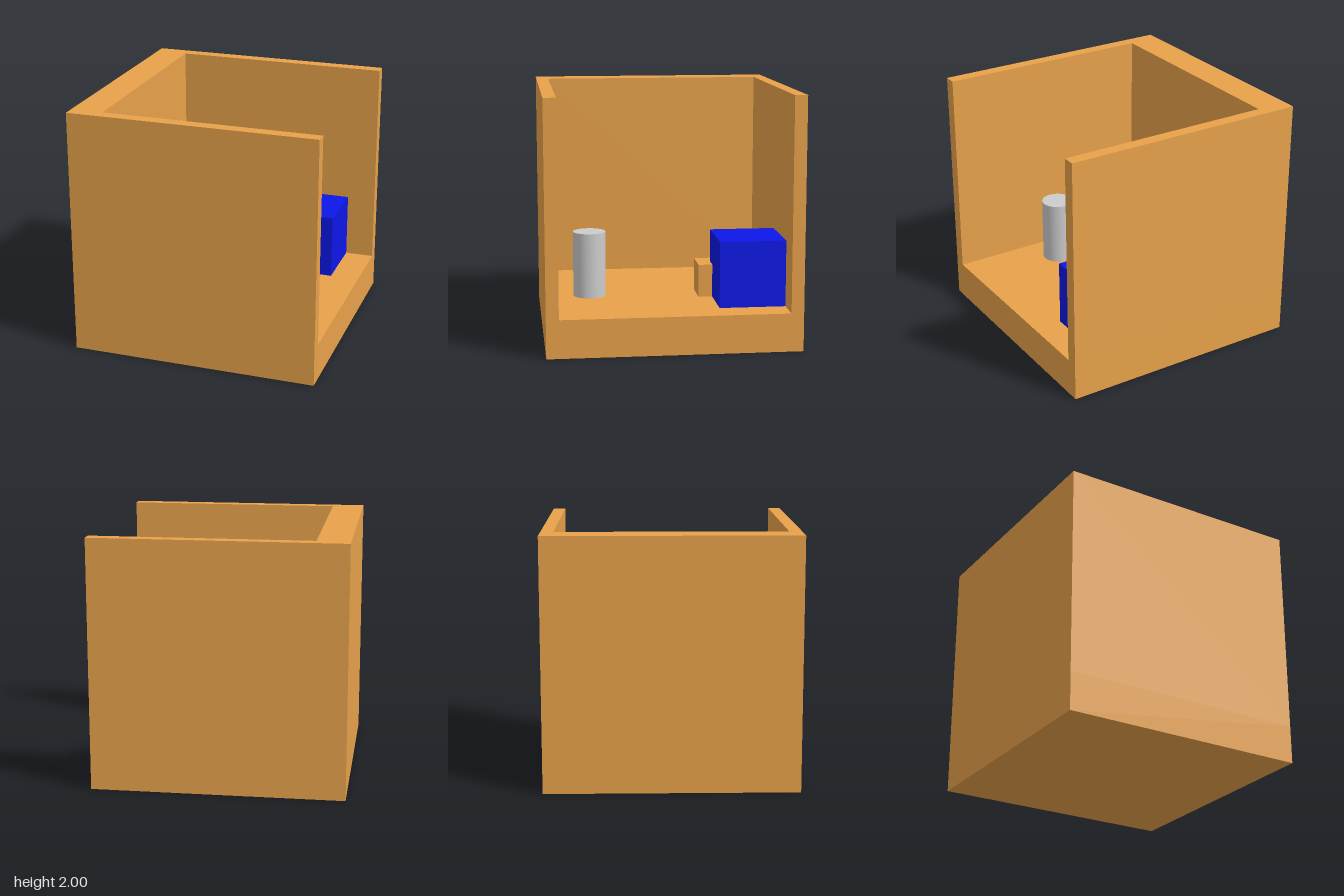
import * as THREE from 'three';

const FLOOR = 0.305; // height of the floor's upper face

export function createModel() {
  const group = new THREE.Group();
  const wood = new THREE.MeshStandardMaterial({ color: 0xe8a24a });
  const blue = new THREE.MeshStandardMaterial({ color: 0x0d17e8 });
  const grey = new THREE.MeshStandardMaterial({ color: 0xcccccc });

  const add = (name, geometry, material, x, y, z) => {
    const mesh = new THREE.Mesh(geometry, material);
    mesh.name = name;
    mesh.position.set(x, y, z);
    group.add(mesh);
  };
  // Cube resting on the floor
  const addCube = (name, size, material, x, z) =>
    add(name, new THREE.BoxGeometry(size, size, size), material, x, FLOOR + size / 2, z);

  // Thick floor slab
  add('floor', new THREE.BoxGeometry(2, FLOOR, 2), wood, 0, FLOOR / 2, 0);

  // U-shaped walls, open on the +x side
  const plan = new THREE.Shape([
    [-1, -1], [1, -1], [1, -0.9], [-0.74, -0.9],
    [-0.74, 0.9], [1, 0.9], [1, 1], [-1, 1],
  ].map(([x, y]) => new THREE.Vector2(x, y)));
  const walls = new THREE.ExtrudeGeometry(plan, { depth: 2 - FLOOR, bevelEnabled: false });
  walls.rotateX(-Math.PI / 2);
  add('walls', walls, wood, 0, FLOOR, 0);

  // Objects on the floor
  addCube('largeCube', 0.53, blue, 0.5, -0.638);
  addCube('smallCube', 0.265, wood, 0.24, -0.393);
  add('cylinder', new THREE.CylinderGeometry(0.132, 0.132, 0.53, 48), grey, 0.203, FLOOR + 0.265, 0.616);

  return group;
}
